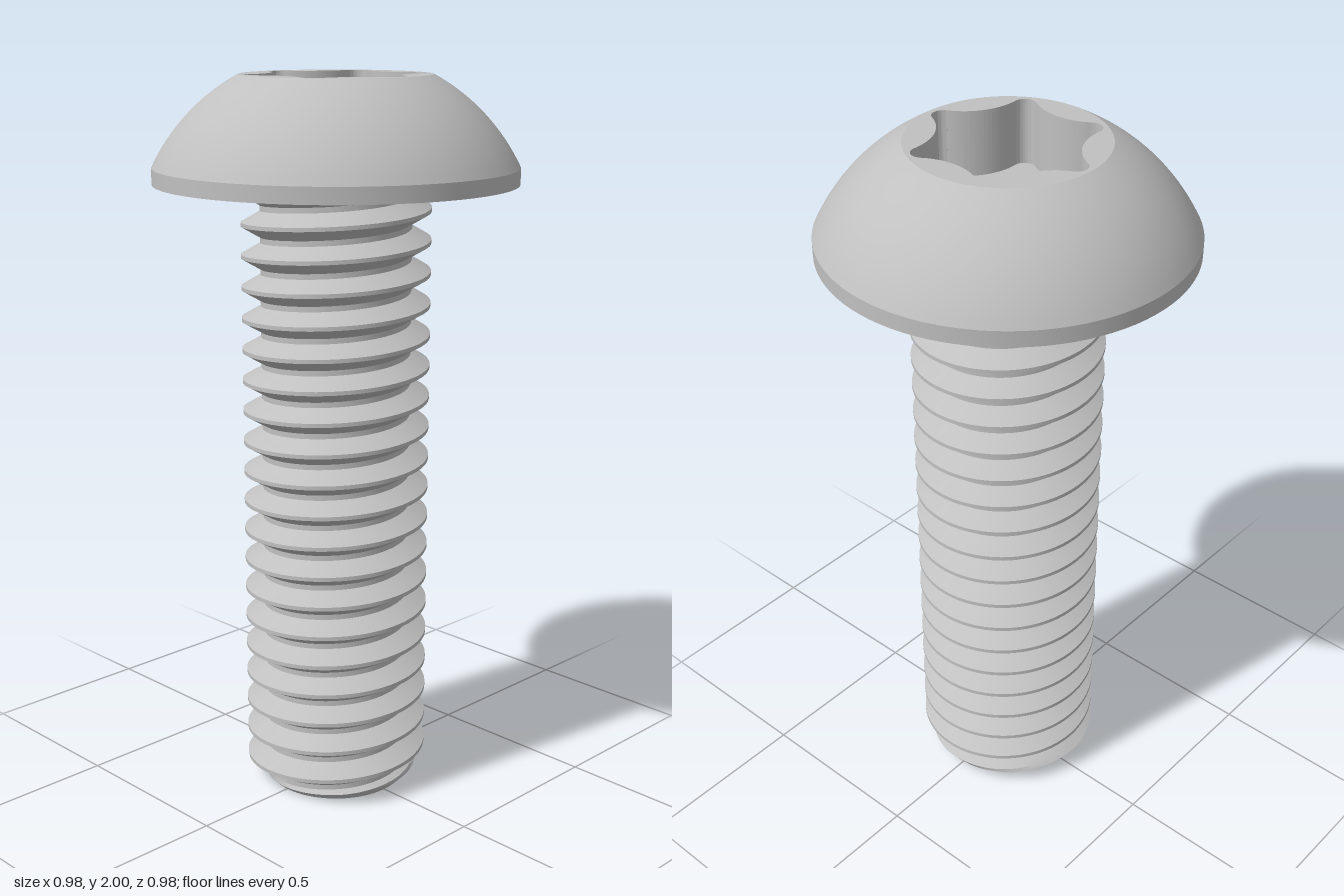
import * as THREE from 'three';
import { toCreasedNormals } from 'three/addons/utils/BufferGeometryUtils.js';

const HEAD_BASE = 1.717, TOP = 2, FLAT_R = 0.258, HEAD_R = 0.49;
const PITCH = 0.0858, ROOT_R = 0.205, CREST_R = 0.257, TIP_R = 0.197;
const SOCKET_DEPTH = 0.18;

// Six-lobed socket outline made of tangent arcs
function socketShape() {
  const tipDist = 0.215, tipR = 0.03, valleyDist = 0.343, valleyR = 0.16;
  const rad = THREE.MathUtils.degToRad;
  const shape = new THREE.Shape();
  for (let i = 0; i < 6; i++) {
    const a = rad(30 + 60 * i), b = a + rad(30);
    shape.absarc(tipDist * Math.cos(a), tipDist * Math.sin(a), tipR, a - rad(64.4), a + rad(64.4), false);
    shape.absarc(valleyDist * Math.cos(b), valleyDist * Math.sin(b), valleyR, b + rad(214.4), b + rad(145.6), true);
  }
  return shape;
}

// Right-handed helical thread: a ridge profile swept up the shaft, chamfered at the tip
function threadGeometry() {
  const segments = 96, end = HEAD_BASE + 0.02, crestY = 1.66 % PITCH;
  const turn = []; // [height, radius] within one pitch, starting mid-crest
  const keys = [[0.064, CREST_R], [0.415, ROOT_R], [0.585, ROOT_R], [0.936, CREST_R]];
  keys.forEach(([h, r], i) => {
    turn.push([h, r]);
    if (i % 2 === 0) {
      const [h2, r2] = keys[i + 1];
      for (const f of [0.33, 0.67]) turn.push([h + (h2 - h) * f, r + (r2 - r) * f]);
    }
  });
  const rings = [];
  for (let k = -2; k <= Math.ceil(end / PITCH); k++)
    for (const [h, r] of turn) rings.push([crestY + (k + h) * PITCH, r]);

  const positions = [], index = [], row = segments + 1;
  rings.forEach(([h, r], j) => {
    for (let i = 0; i <= segments; i++) {
      const t = (i / segments) * Math.PI * 2;
      const y = THREE.MathUtils.clamp(h + (PITCH * i) / segments, 0, end);
      const radius = Math.min(r, TIP_R + y);
      positions.push(radius * Math.cos(t), y, -radius * Math.sin(t));
      if (i < segments && j < rings.length - 1) {
        const a = j * row + i;
        index.push(a, a + 1, a + row, a + 1, a + row + 1, a + row);
      }
    }
  });
  const geometry = new THREE.BufferGeometry();
  geometry.setAttribute('position', new THREE.Float32BufferAttribute(positions, 3));
  geometry.setIndex(index);
  return toCreasedNormals(geometry, 0.5);
}

export function createModel() {
  const model = new THREE.Group();
  model.name = 'screw';
  const steel = new THREE.MeshStandardMaterial({ color: 0xc0c0c0 });
  steel.name = 'steel';
  const add = (name, geometry) => {
    const mesh = new THREE.Mesh(geometry, steel);
    mesh.name = name;
    model.add(mesh);
  };

  // Domed head with a short straight rim and flat underside
  const profile = [new THREE.Vector2(0.15, HEAD_BASE), new THREE.Vector2(HEAD_R, HEAD_BASE)];
  const domeY = 1.518, domeR = Math.hypot(FLAT_R, TOP - domeY);
  const from = Math.asin(HEAD_R / domeR), to = Math.asin(FLAT_R / domeR);
  for (let i = 0; i <= 16; i++) {
    const a = from + ((to - from) * i) / 16;
    profile.push(new THREE.Vector2(domeR * Math.sin(a), domeY + domeR * Math.cos(a)));
  }
  add('head', toCreasedNormals(new THREE.LatheGeometry(profile, 96), 0.35));

  // Flat top pierced by the socket
  const disc = new THREE.Shape().absarc(0, 0, FLAT_R, 0, Math.PI * 2, false);
  disc.holes.push(socketShape());
  const top = new THREE.ExtrudeGeometry(disc, { depth: SOCKET_DEPTH, bevelEnabled: false, curveSegments: 48 });
  top.rotateX(-Math.PI / 2).translate(0, TOP - SOCKET_DEPTH, 0);
  add('socketWalls', toCreasedNormals(top, 0.5));

  const floor = new THREE.ShapeGeometry(socketShape(), 24);
  floor.rotateX(-Math.PI / 2).translate(0, TOP - SOCKET_DEPTH + 0.003, 0);
  add('socketFloor', floor);

  // Threaded shaft and its end face
  add('threadedShaft', threadGeometry());
  add('shaftEnd', new THREE.CircleGeometry(TIP_R, 96).rotateX(Math.PI / 2));

  return model;
}
